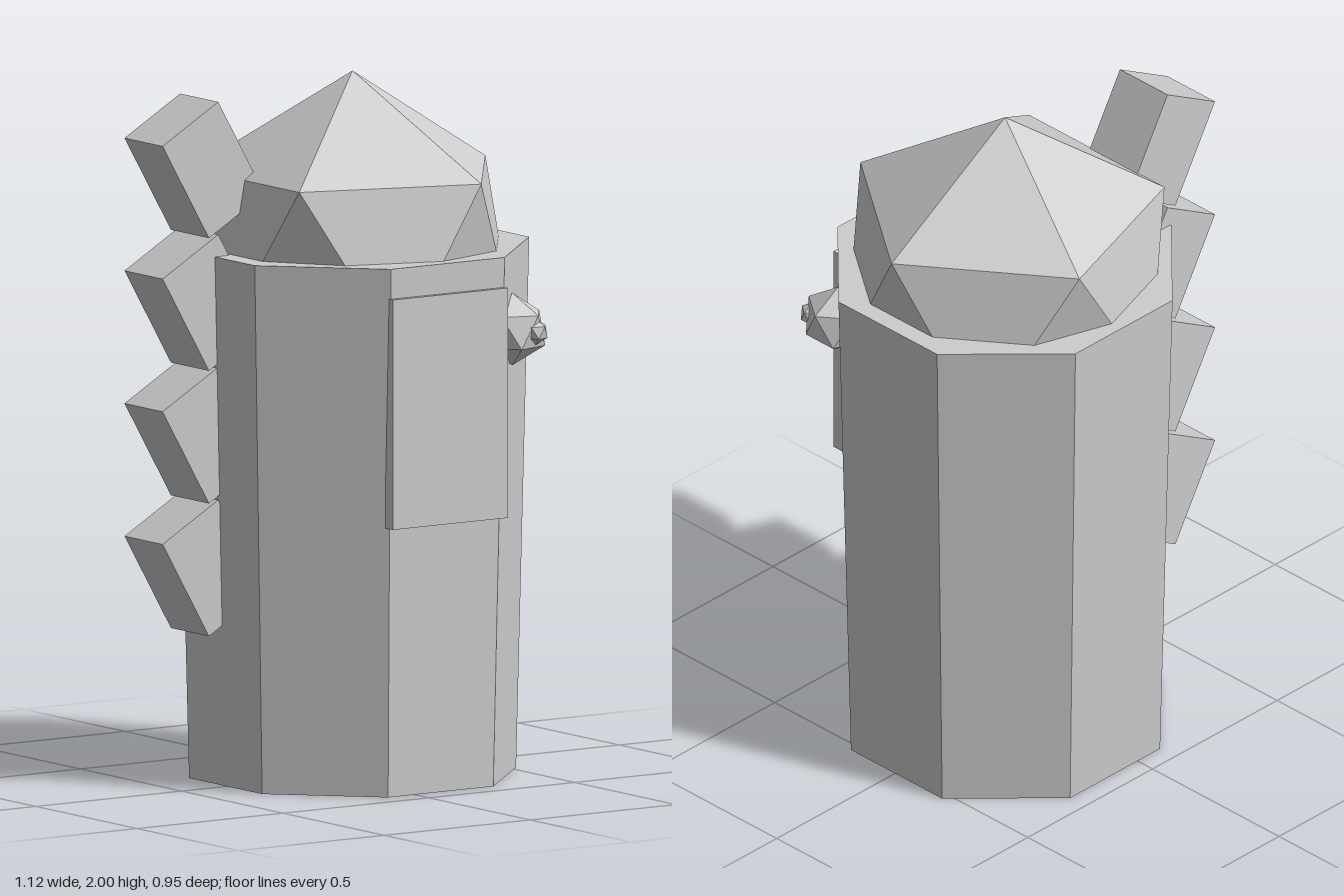
import * as THREE from 'three';

export function createModel() {
  const group = new THREE.Group();
  const grey = new THREE.MeshStandardMaterial({ color: 0xcccccc, flatShading: true });
  grey.name = 'light grey';

  function add(name, geometry, x, y, z) {
    const mesh = new THREE.Mesh(geometry, grey);
    mesh.name = name;
    mesh.position.set(x, y, z);
    group.add(mesh);
    return mesh;
  }

  // Icosahedron standing on a vertex, with an upper-ring corner towards +x
  const gem = (r) => new THREE.IcosahedronGeometry(r, 0)
    .rotateZ(-Math.atan(2 / (1 + Math.sqrt(5))));

  const cx = 0.09, cz = -0.006;

  // Tapered eight-sided body with flat sides to the front
  const body = new THREE.CylinderGeometry(0.509, 0.471, 1.51, 8).rotateY(Math.PI / 8);
  add('body', body, cx, 0.755, cz);

  // Domed head sunk into the body
  add('head', gem(0.509), cx, 1.491, cz);

  // Front panel
  add('frontPanel', new THREE.BoxGeometry(0.395, 0.655, 0.036), cx, 1.097, 0.459);

  // Round knob on the front left side, with its small tip
  add('knob', gem(0.103), 0.373, 1.287, 0.375);
  add('knobTip', gem(0.038), 0.405, 1.285, 0.443);

  // Row of tilted blocks up the right side
  for (let i = 0; i < 4; i++) {
    const block = add('sideBlock' + (i + 1), new THREE.BoxGeometry(0.22, 0.318, 0.188),
      -0.385, 0.624 + i * 0.378, -0.102);
    block.rotation.z = Math.PI / 6;
  }

  return group;
}
